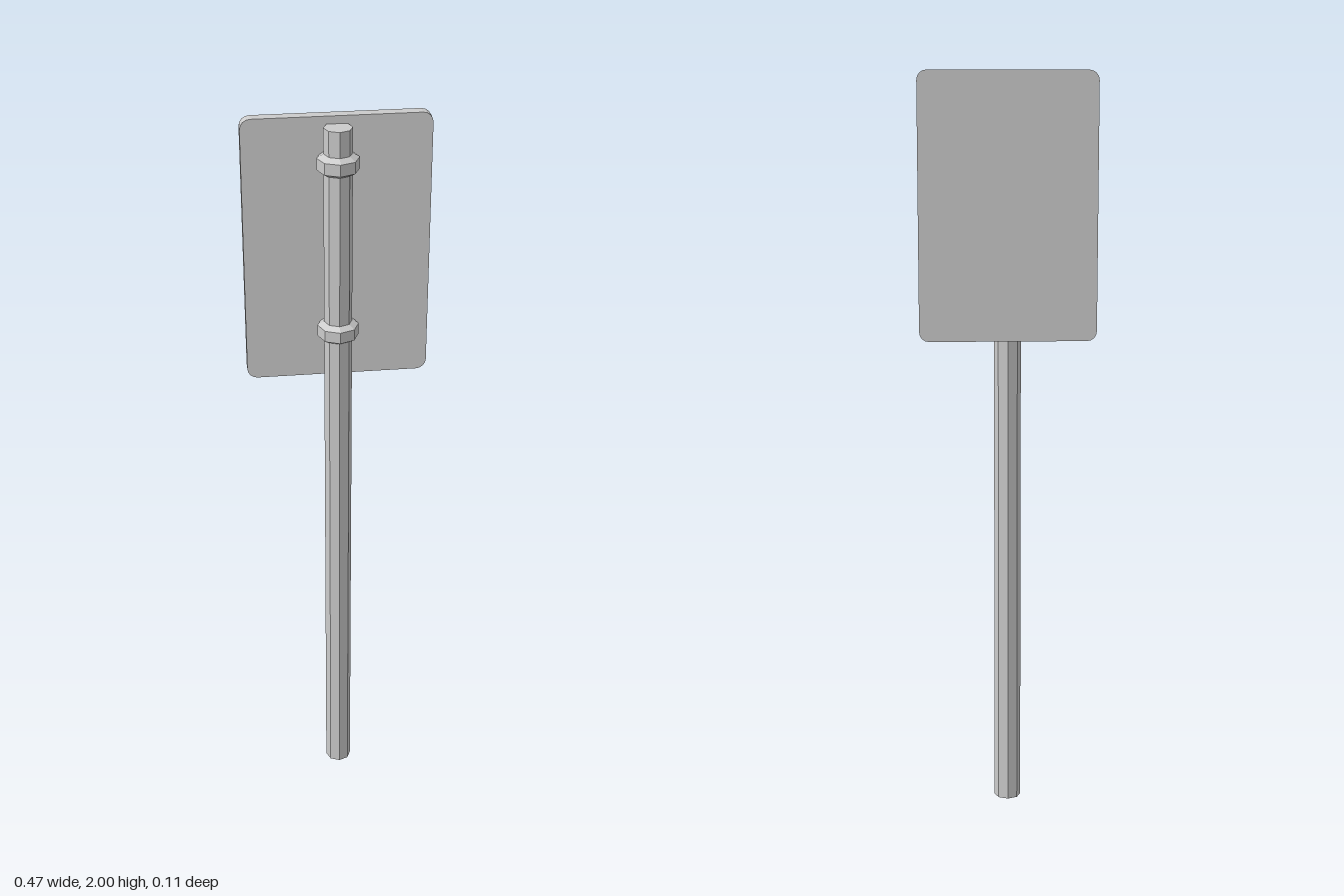
import * as THREE from 'three';

const SIDES = 8;

// Rounded rectangle centred on the origin
function roundedRect(w, h, r) {
  const x = w / 2, y = h / 2;
  const s = new THREE.Shape();
  s.moveTo(x, y - r);
  s.absarc(x - r, y - r, r, 0, Math.PI / 2);
  s.absarc(-x + r, y - r, r, Math.PI / 2, Math.PI);
  s.absarc(-x + r, -y + r, r, Math.PI, Math.PI * 1.5);
  s.absarc(x - r, -y + r, r, Math.PI * 1.5, Math.PI * 2);
  return s;
}

export function createModel() {
  const group = new THREE.Group();
  const material = new THREE.MeshStandardMaterial({
    color: 0xcccccc, flatShading: true, side: THREE.DoubleSide,
  });

  function add(name, geometry) {
    const mesh = new THREE.Mesh(geometry, material);
    mesh.name = name;
    group.add(mesh);
    return mesh;
  }

  // Turned octagonal part from [radius, height] pairs
  const turned = (points) =>
    new THREE.LatheGeometry(points.map(([r, y]) => new THREE.Vector2(r, y)), SIDES);

  // Pole: capped on top, open at the foot
  add('pole', turned([[0.036, 0], [0.036, 1.98], [0, 1.98]]));

  // Two clamps with bevelled rims
  [['upperClamp', 1.89], ['lowerClamp', 1.441]].forEach(([name, y]) => {
    const clamp = add(name, turned([
      [0.036, -0.025], [0.053, -0.015], [0.053, 0.015], [0.036, 0.025],
    ]));
    clamp.position.y = y;
  });

  // Sign panel, turned very slightly on the pole
  const depth = 0.029;
  const panelGeometry = new THREE.ExtrudeGeometry(roundedRect(0.47, 0.7, 0.026), {
    depth, bevelEnabled: false, curveSegments: 2,
  });
  panelGeometry.translate(0, 0, -depth / 2);
  const panel = add('signPanel', panelGeometry);
  panel.position.set(0, 1.65, -0.0395);
  panel.rotation.y = 0.008;

  return group;
}
